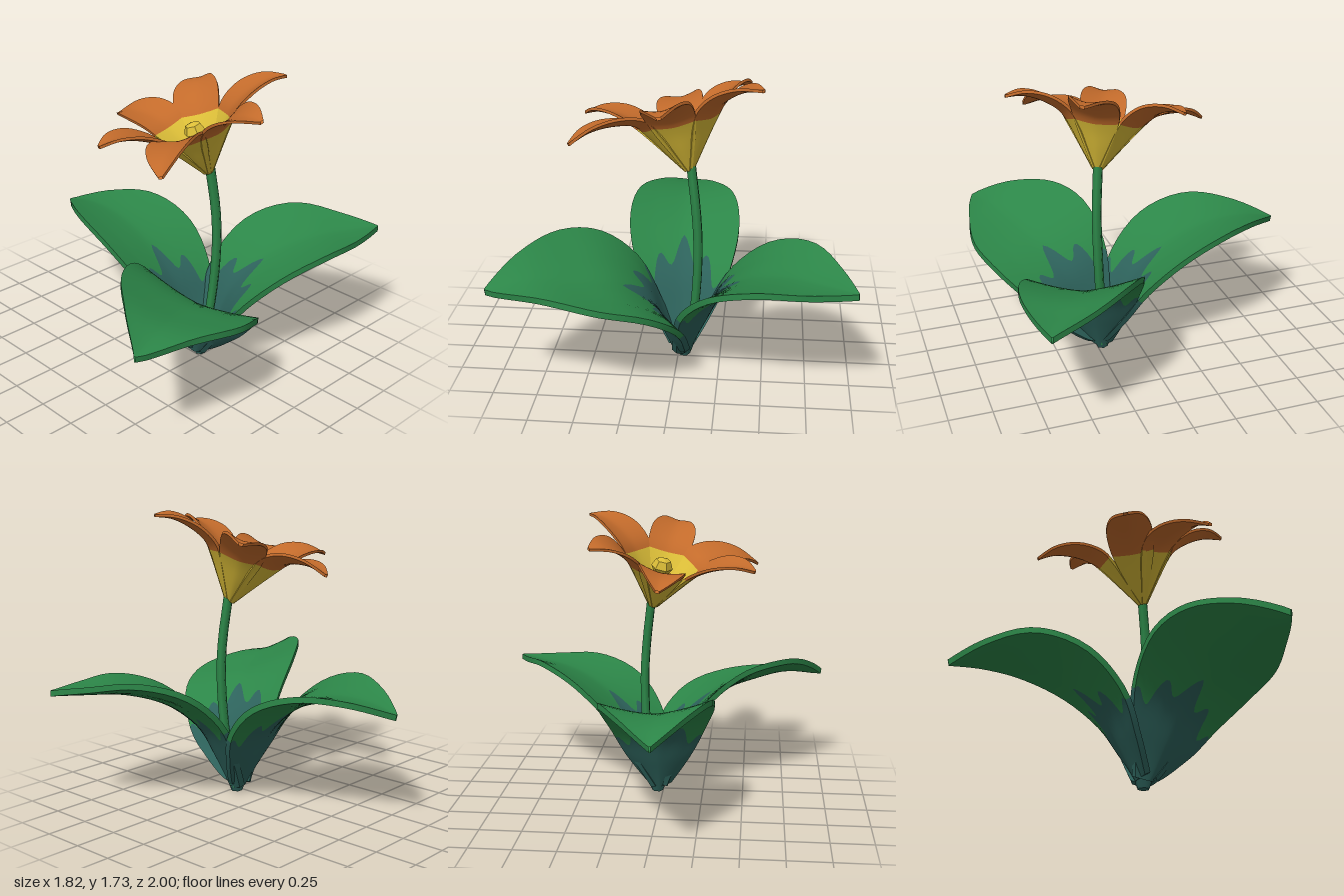
import * as THREE from 'three';

const mat = (name, color) => {
  const m = new THREE.MeshStandardMaterial({ color, side: THREE.DoubleSide });
  m.name = name;
  return m;
};

const V2 = (x, y) => new THREE.Vector2(x, y);

// A curved blade growing along +x, made from rows of [reach, height, edge lift, half width].
// It has an upper skin, a lower skin, two rims and a base cap; split(v) is where the colour changes.
function blade(name, rows, o) {
  const path = new THREE.SplineCurve(rows.map(r => V2(r[0], r[1])));
  const shape = new THREE.SplineCurve(rows.map(r => V2(r[2], r[3])));
  const M = 12, N = 30;
  const along = (k, v) => {
    const b = o.split(v);
    return k <= M ? b * k / M : b + (1 - b) * (k - M) / (N - M);
  };
  const point = (t, v, s) => {
    const p = path.getPoint(t), d = path.getTangent(t), q = shape.getPoint(t);
    const env = Math.sin(Math.PI * t);
    const h = q.x * Math.pow(Math.abs(v), 1.5) + o.thick * s;
    return [
      p.x - d.y * h,
      p.y + d.x * h - (o.roll || 0) * v * env,
      -(Math.max(q.y, 0.003) * v + (o.shift || 0) * env),
    ];
  };

  const pos = [], index = [[], []];
  const sheet = (f, nu, nv, flip) => {
    const start = pos.length / 3;
    for (let i = 0; i <= nu; i++) for (let j = 0; j <= nv; j++) pos.push(...f(i, j));
    for (let i = 0; i < nu; i++) for (let j = 0; j < nv; j++) {
      const a = start + i * (nv + 1) + j, b = a + nv + 1;
      const list = index[i < M ? 0 : 1];
      if (flip) list.push(a, a + 1, b, b, a + 1, b + 1);
      else list.push(a, b, a + 1, b, b + 1, a + 1);
    }
  };
  const W = o.across;
  const vAt = j => 2 * j / W - 1;
  sheet((i, j) => point(along(i, vAt(j)), vAt(j), 1), N, W, false);
  sheet((i, j) => point(along(i, vAt(j)), vAt(j), 0), N, W, true);
  sheet((i, j) => point(along(i, 1), 1, j), N, 1, true);
  sheet((i, j) => point(along(i, -1), -1, j), N, 1, false);
  sheet((i, j) => point(0, vAt(i * W / 4), j), 4, 1, true);

  const g = new THREE.BufferGeometry();
  g.setAttribute('position', new THREE.Float32BufferAttribute(pos, 3));
  g.setIndex([...index[0], ...index[1]]);
  g.addGroup(0, index[0].length, 0);
  g.addGroup(index[0].length, index[1].length, 1);
  g.computeVertexNormals();
  const mesh = new THREE.Mesh(g, o.mats);
  mesh.name = name;
  return mesh;
}

export function createModel() {
  const green = mat('leafGreen', 0x2c8648);
  const teal = mat('baseTeal', 0x2d625b);
  const orange = mat('petalOrange', 0xc36b2b);
  const yellow = mat('throatYellow', 0xdcbe38);
  const model = new THREE.Group();
  model.name = 'flowerPlant';

  // Three arching leaves, with a fingered teal patch at the foot
  const leaves = [
    { name: 'rightLeaf', tip: [-0.91, 0.03], foot: 0.04, sag: 0, end: 0.645, roll: -0.015, shift: 0, wide: 1 },
    { name: 'backLeaf', tip: [0.77, -1.0], foot: 0.02, sag: 0.015, end: 0.69, roll: -0.04, shift: 0, wide: 1 },
    { name: 'frontLeaf', tip: [0.78, 0.99], foot: 0.03, sag: 0.05, end: 0.635, roll: 0.115, shift: 0.09, wide: 1.06 },
  ];
  const cx = 0.22, cz = -0.02;
  for (const l of leaves) {
    const dx = l.tip[0] - cx, dz = l.tip[1] - cz, len = Math.hypot(dx, dz);
    const rows = [
      [0.05, l.foot, 0.04, 0.075],
      [0.14, 0.22, 0.05, 0.185 * l.wide],
      [0.25, 0.42, 0.06, 0.28 * l.wide],
      [0.45, 0.59 - l.sag / 2, 0.07, 0.335 * l.wide],
      [0.70, 0.68 - l.sag, 0.065, 0.3 * l.wide],
      [0.93, 0.69 - l.sag / 2, 0.03, 0.165 * l.wide],
      [len, l.end, 0, 0.004],
    ];
    const leaf = blade(l.name, rows, {
      thick: 0.035, across: 40, roll: l.roll, shift: l.shift, mats: [teal, green],
      split: v => 0.26 + 0.175 * (1 - Math.abs(v)) + 0.04 * Math.cos(2 * Math.PI * v / 0.48),
    });
    leaf.position.set(cx, 0, cz);
    leaf.rotation.y = -Math.atan2(dz, dx);
    model.add(leaf);
  }

  // Small foot where the leaves meet
  const foot = new THREE.Mesh(new THREE.CylinderGeometry(0.06, 0.035, 0.07, 6), teal);
  foot.name = 'foot';
  foot.position.set(0.22, 0.035, -0.035);
  model.add(foot);

  // Slender bent stem
  const stemPath = new THREE.CatmullRomCurve3([
    [0.22, 0.03, -0.05], [0.245, 0.35, -0.1], [0.262, 0.7, -0.118],
    [0.262, 0.93, -0.107], [0.24, 1.21, -0.075],
  ].map(p => new THREE.Vector3(...p)));
  const stem = new THREE.Mesh(new THREE.TubeGeometry(stemPath, 12, 0.029, 6), green);
  stem.name = 'stem';
  model.add(stem);

  // Tilted trumpet flower with six petals: [angle, reach, tip lift]
  const flower = new THREE.Group();
  flower.name = 'flower';
  flower.position.set(0.24, 1.18, -0.065);
  flower.quaternion.setFromUnitVectors(
    new THREE.Vector3(0, 1, 0), new THREE.Vector3(-0.22, 1, 0.24).normalize());
  const petals = [
    [2, 0.57, 0], [60, 0.645, -0.055], [106, 0.555, 0.07],
    [178, 0.6, 0], [233, 0.52, 0.03], [300, 0.585, 0.01],
  ];
  petals.forEach(([deg, reach, lift], i) => {
    const rows = [
      [0.025, 0, 0.005, 0.022],
      [0.11, 0.12, 0.015, 0.07],
      [0.19, 0.235, 0.02, 0.115],
      [0.26, 0.31, 0.025, 0.135],
      [0.26 + (reach - 0.26) * 0.34, 0.355 + lift * 0.3, 0.03, 0.132],
      [0.26 + (reach - 0.26) * 0.69, 0.37 + lift * 0.65, 0.02, 0.09],
      [reach, 0.35 + lift, 0, 0.012],
    ];
    const petal = blade('petal' + (i + 1), rows, {
      thick: 0.016, across: 12, mats: [yellow, orange], split: () => 0.4,
    });
    petal.rotation.y = -THREE.MathUtils.degToRad(deg);
    flower.add(petal);
  });

  // Faceted pistil inside the throat
  const pistilProfile = [V2(0.015, 0), V2(0.03, 0.2), V2(0.065, 0.26), V2(0.045, 0.305), V2(0, 0.32)];
  const pistilGeo = new THREE.LatheGeometry(pistilProfile, 6).toNonIndexed();
  pistilGeo.computeVertexNormals();
  const pistil = new THREE.Mesh(pistilGeo, yellow);
  pistil.name = 'pistil';
  flower.add(pistil);
  model.add(flower);

  return model;
}
